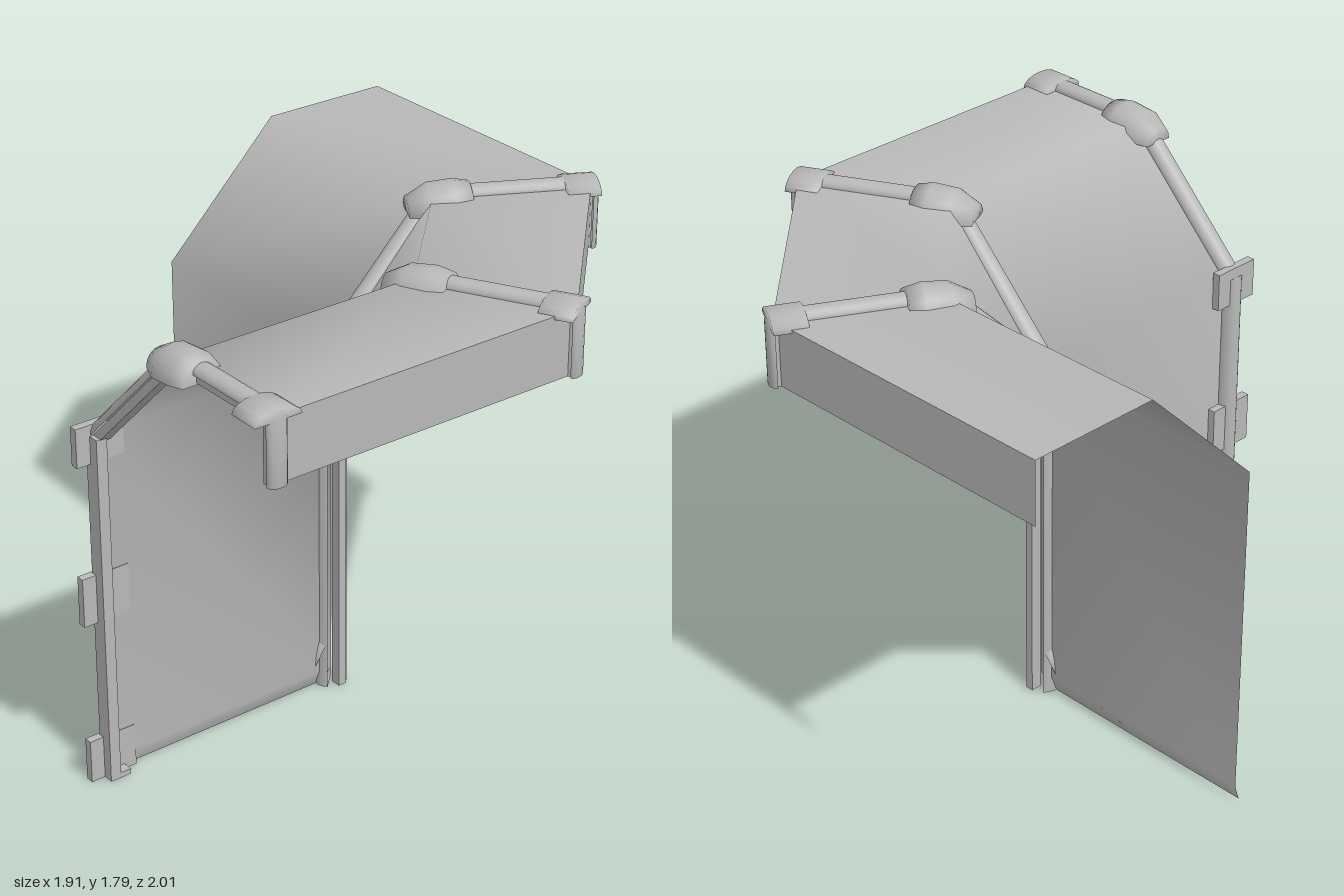
import * as THREE from 'three';
import { mergeVertices } from 'three/addons/utils/BufferGeometryUtils.js';

const V = (x, y, z) => new THREE.Vector3(x, y, z);
const WALL = 1.3, ROOF = 1.745, LIP = 1.52;

// The two arms mirror each other across the corner diagonal.
const mirror = (p) => V(-p.z - 0.05, p.y, -p.x - 0.05);
const mirrorDir = (n) => V(-n.z, n.y, -n.x);

export function createModel() {
  const group = new THREE.Group();
  const grey = new THREE.MeshStandardMaterial({ color: 0xb8b8b8, side: THREE.DoubleSide });
  grey.name = 'panel grey';

  function add(name, geometry, parent = group) {
    const mesh = new THREE.Mesh(geometry, grey);
    mesh.name = name;
    parent.add(mesh);
    return mesh;
  }

  // Surface stretched between columns of points.
  function loft(columns, smooth) {
    const rows = columns[0].length, index = [];
    let geometry = new THREE.BufferGeometry().setFromPoints(columns.flat());
    for (let i = 0; i < columns.length - 1; i++) {
      for (let j = 0; j < rows - 1; j++) {
        const a = i * rows + j, b = a + rows;
        index.push(a, b, b + 1, a, b + 1, a + 1);
      }
    }
    geometry.setIndex(index);
    geometry = smooth ? mergeVertices(geometry) : geometry.toNonIndexed();
    geometry.computeVertexNormals();
    return geometry;
  }

  // Places a geometry so its y runs from a to b and its z points outward.
  function orient(geometry, a, b, out) {
    const d = b.clone().sub(a).normalize();
    const side = d.clone().cross(out).normalize();
    const n = side.clone().cross(d);
    return geometry.applyMatrix4(new THREE.Matrix4().makeBasis(side, d, n).setPosition(a));
  }

  // Half-round bar; profile holds [radius, fraction along the length].
  function halfBar(a, b, out, profile, height) {
    const length = a.distanceTo(b), radius = Math.max(...profile.map((p) => p[0]));
    const points = [[0, 0], ...profile, [0, 1]].map(([r, t]) => new THREE.Vector2(r, t * length));
    const g = new THREE.LatheGeometry(points, 8, -Math.PI / 2, Math.PI);
    g.scale(1, 1, height / radius);
    return orient(g, a, b, out);
  }

  // Flat strip on the inner face of a rib.
  function innerStrip(a, b, out, width) {
    const length = a.distanceTo(b);
    const g = new THREE.BoxGeometry(width, length, 0.03).translate(0, length / 2, -0.015);
    return orient(g, a, b, out);
  }

  // Shell columns: end of the side arm, two corner lines, end of the front arm
  const end = [V(-0.955, 0, 0), V(-0.955, 0.06, -0.02), V(-0.955, WALL, -0.02),
    V(-0.955, ROOF, -0.47), V(-0.955, ROOF, -0.955)];
  const corner = [V(-0.05, 0, 0), V(-0.03, 0.06, -0.02), V(-0.03, WALL, -0.02),
    V(-0.05, ROOF, -0.47), V(0.205, ROOF, -0.955)];
  const columns = [end, corner, corner.map(mirror), end.map(mirror)];
  add('wallAndRoof', loft(columns, true));
  add('hangingEdge', loft(columns.map((c) => [c[4], V(c[4].x, LIP, c[4].z)]), false));

  const round = [[0.037, 0], [0.037, 1]];
  const UP = V(0, 1, 0), SLOPE = V(-1, 1, 0).normalize();

  // Upper part of a rib: sloped bar, roof bar, edge bar and the clamps on them
  function upperRib(name, foot, bend, tip, flip) {
    const rib = new THREE.Group();
    rib.name = name;
    group.add(rib);
    const p = (v) => (flip ? mirror(v) : v);
    const n = (v) => (flip ? mirrorDir(v) : v);
    const along = tip.clone().sub(bend).normalize();
    const at = (base, t, y) => p(base.clone().addScaledVector(along, t).setY(y));
    const lipBottom = tip.clone().setY(LIP);

    add('slopeBar', halfBar(p(foot), p(bend), n(SLOPE), round, 0.035), rib);
    add('slopeStrip', innerStrip(p(foot), p(bend), n(SLOPE), 0.05), rib);
    add('roofBar', halfBar(p(bend), p(tip), UP, round, 0.03), rib);
    add('roofStrip', innerStrip(p(bend), p(tip), UP, 0.05), rib);
    add('edgeBar', halfBar(p(lipBottom), p(tip), n(along), round, 0.025), rib);
    add('edgeStrip', innerStrip(p(lipBottom), p(tip), n(along), 0.05), rib);
    add('bendClamp', halfBar(at(bend, -0.09, 1.69), at(bend, 0.13, 1.71), UP,
      [[0.055, 0], [0.09, 0.35], [0.09, 0.75], [0.075, 1]], 0.09), rib);
    add('tipClamp', halfBar(at(tip, -0.1, ROOF - 0.01), at(tip, 0.015, ROOF - 0.01), UP,
      [[0.085, 0], [0.085, 1]], 0.04), rib);
    return rib;
  }

  // Two corner ribs and the rib on the front end
  const rib2 = [V(-0.03, WALL, 0), V(0.42, ROOF, 0), V(0.905, ROOF, -0.255)];
  upperRib('cornerRibFront', ...rib2, false);
  upperRib('cornerRibSide', ...rib2, true);
  const z = 0.908;
  const endRib = upperRib('endRib', V(-0.03, WALL, z), V(0.42, ROOF, z), V(0.905, ROOF, z), false);

  // Front post with its flange, base and clamps
  const low = V(-0.03, 0, z), high = V(-0.03, WALL, z);
  add('endPost', halfBar(low, high, V(-1, 0, 0), round, 0.045), endRib);
  add('endFlange', new THREE.BoxGeometry(0.06, WALL, 0.04).translate(-0.02, WALL / 2, 0.928), endRib);
  add('endFoot', new THREE.BoxGeometry(0.06, 0.02, 0.08).translate(-0.02, 0.01, z), endRib);
  for (const [y0, y1] of [[0, 0.16], [0.61, 0.79], [1.2, 1.34]]) {
    add('wallClamp', new THREE.BoxGeometry(0.03, y1 - y0, 0.18)
      .translate(-0.043, (y0 + y1) / 2, 0.91), endRib);
  }

  // Corner post, inner strips and flared foot
  const outward = V(-1, 0, 1).normalize();
  add('cornerPost', halfBar(V(-0.035, 0, -0.015), V(-0.035, WALL + 0.03, -0.015), outward,
    [[0.045, 0], [0.045, 1]], 0.055));
  add('cornerFoot', halfBar(V(-0.09, 0, 0.04), V(-0.04, 0.17, -0.01), outward,
    [[0.05, 0], [0.05, 1]], 0.045));
  for (const flip of [false, true]) {
    const strip = [V(-0.03, 0, -0.045), V(-0.03, WALL, -0.045)].map((v) => (flip ? mirror(v) : v));
    const out = V(-1, 0, 0);
    add('cornerStrip', innerStrip(strip[0], strip[1], flip ? mirrorDir(out) : out, 0.04));
  }
  return group;
}
